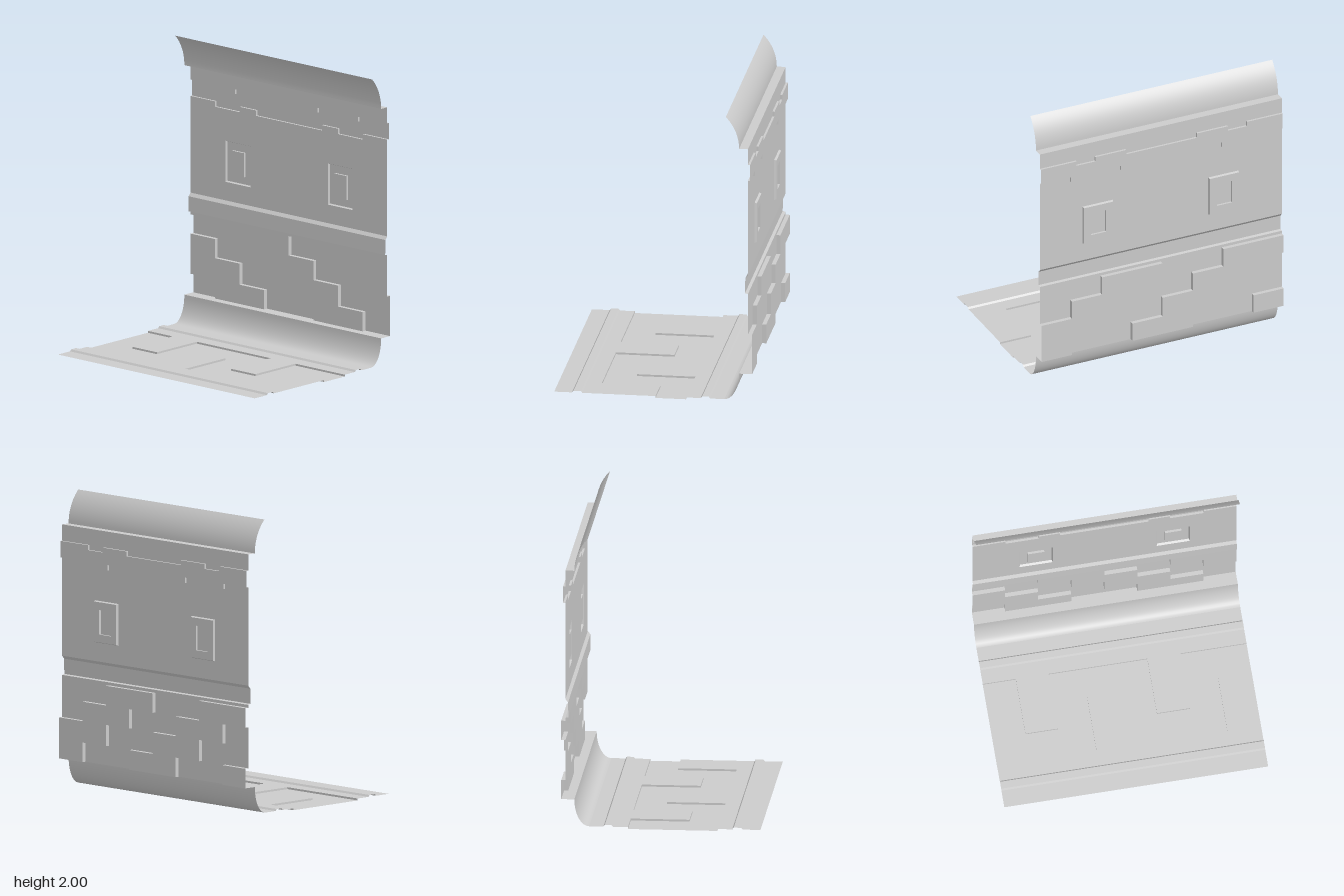
import * as THREE from 'three';
import { mergeGeometries } from 'three/addons/utils/BufferGeometryUtils.js';

const HALF = 0.895;                 // half length along z
const WALL = 0.64, BLOCK = 0.668, TRIM = 0.655; // wall depths (x)
const FLOOR = 0.013, CHANNEL = 0;   // floor heights (y)

// Place a flat [u, v] point on the wall (at x = w) or on the floor (at y = w)
const onWall = (w) => ([u, v]) => [w, v, -u];
const onFloor = (w) => ([u, v]) => [u, w, -v];

// Strip of quads between two 3D paths of equal length
function ribbon(a, b, smooth = false) {
  const geo = new THREE.PlaneGeometry(1, 1, 1, a.length - 1);
  a.forEach((p, i) => {
    geo.attributes.position.setXYZ(2 * i, ...p);
    geo.attributes.position.setXYZ(2 * i + 1, ...b[i]);
  });
  const out = smooth ? geo : geo.toNonIndexed();
  out.computeVertexNormals();
  return out;
}

// Profile of [x, y] points carried along the whole length
const sweep = (profile, smooth) => ribbon(
  profile.map(([x, y]) => [x, y, HALF]), profile.map(([x, y]) => [x, y, -HALF]), smooth);

// Flat polygon, optionally with holes
function panel(points, place, holes = []) {
  const vec = (list) => list.map(([u, v]) => new THREE.Vector2(u, v));
  const shape = new THREE.Shape(vec(points));
  shape.holes = holes.map((h) => new THREE.Path(vec(h)));
  const geo = new THREE.ShapeGeometry(shape);
  const pos = geo.attributes.position;
  for (let i = 0; i < pos.count; i++) pos.setXYZ(i, ...place([pos.getX(i), pos.getY(i)]));
  geo.computeVertexNormals();
  return geo.toNonIndexed();
}

// Riser along a path between two depths, left open at the two ends of the length
function riser(path, low, high, axis) {
  const parts = [];
  for (let i = 0; i + 1 < path.length; i++) {
    const seg = [path[i], path[i + 1]];
    const atEnd = seg.every((p) => Math.abs(p[axis]) > HALF - 0.001);
    const same = seg[0][0] === seg[1][0] && seg[0][1] === seg[1][1];
    if (!atEnd && !same) parts.push(ribbon(seg.map(low), seg.map(high)));
  }
  return mergeGeometries(parts);
}

const rect = (u0, v0, u1, v1) => [[u0, v0], [u1, v0], [u1, v1], [u0, v1]];
const close = (pts) => [...pts, pts[0]];
const between = (a, b) => [...a, ...[...b].reverse()];

export function createModel() {
  const model = new THREE.Group();
  const material = new THREE.MeshStandardMaterial({ color: 0xcccccc, side: THREE.DoubleSide });
  const add = (name, ...geos) => {
    const mesh = new THREE.Mesh(geos.length > 1 ? mergeGeometries(geos) : geos[0], material);
    mesh.name = name;
    model.add(mesh);
  };

  // Floor with a sunken meander channel
  const lineA = [[-0.38, -HALF], [-0.38, -0.22], [0.015, -0.22], [0.015, 0], [-0.38, 0],
    [-0.38, 0.667], [0.015, 0.667], [0.015, HALF]].map(([x, z]) => [x, -z]);
  const lineB = [[0.22, -HALF], [0.22, -0.67], [-0.175, -0.67], [-0.175, -0.45], [0.22, -0.45],
    [0.22, 0.222], [-0.175, 0.222], [-0.175, 0.445], [0.22, 0.445], [0.22, HALF]].map(([x, z]) => [x, -z]);
  add('floorPlate',
    panel(between([[-0.48, HALF], [-0.48, -HALF]], [...lineA]), onFloor(FLOOR)),
    panel(between(lineB, [[0.32, HALF], [0.32, -HALF]]), onFloor(FLOOR)));
  add('floorChannel', panel(between(lineA, lineB), onFloor(CHANNEL)),
    riser(lineA, onFloor(CHANNEL), onFloor(FLOOR), 1),
    riser(lineB, onFloor(CHANNEL), onFloor(FLOOR), 1));

  // Low ridges on both sides of the channel
  add('outerFloorRidge', sweep([[-0.67, FLOOR], [-0.55, FLOOR], [-0.54, 0.025], [-0.49, 0.025], [-0.48, FLOOR]]));
  add('innerFloorRidge', sweep([[0.32, FLOOR], [0.33, 0.025], [0.375, 0.025], [0.385, FLOOR], [0.48, FLOOR]]));

  // Coves at the foot and the head of the wall
  const foot = [], head = [];
  for (let i = 0; i <= 12; i++) {
    const t = (i / 12) * Math.PI / 2, s = (i / 12) * 0.776;
    foot.push([0.48 + 0.1 * Math.sin(t), 0.197 - (0.197 - FLOOR) * Math.cos(t)]);
    head.push([0.58 - 0.314 * (1 - Math.cos(s)), 1.78 + 0.314 * Math.sin(s)]);
  }
  add('footCove', sweep(foot, true));
  add('headCove', sweep(head, true));
  add('footLedge', sweep([[0.58, 0.197], [WALL, 0.197]]));
  add('headLedge', sweep([[WALL, 1.78], [0.58, 1.78]]));

  // Stepped blocks, alternately flush and pushed out
  const levels = [0.197, 0.33, 0.475, 0.607, 0.74];
  const stair = (k) => {
    const pts = [];
    for (let i = 0; i < 4; i++) {
      const u = THREE.MathUtils.clamp(-0.671 + 0.448 * k + 0.224 * i, -HALF, HALF);
      pts.push([u, levels[i]], [u, levels[i + 1]]);
    }
    return pts;
  };
  for (let k = -2; k <= 3; k++) {
    const outline = between(stair(k), stair(k + 1))
      .filter((p, i, all) => i === 0 || p[0] !== all[i - 1][0] || p[1] !== all[i - 1][1]);
    if (k % 2 === 0) add('flushBlocks', panel(outline, onWall(WALL)));
    else add('raisedBlocks', panel(outline, onWall(BLOCK)),
      riser(close(outline), onWall(WALL), onWall(BLOCK), 0));
  }

  // Moulding between the blocks and the upper wall
  add('middleMoulding', sweep([[WALL, 0.74], [WALL, 0.76], [0.62, 0.765], [0.622, 0.868], [WALL, 0.89]]));

  // Notched frieze: a line that switches between two heights
  const notched = (cuts, high, low) => {
    const us = [-HALF, ...cuts.map((c) => -c), ...[...cuts].reverse(), HALF];
    const pts = [];
    for (let i = 0; i + 1 < us.length; i++) {
      const v = i % 2 ? low : high;
      pts.push([us[i], v], [us[i + 1], v]);
    }
    return pts;
  };
  const upper = notched([0.63, 0.49, 0.262], 1.67, 1.637);
  const lower = notched([0.672, 0.445, 0.3], 1.557, 1.52);
  add('frieze', panel(between(lower, upper), onWall(TRIM)),
    riser(lower, onWall(WALL), onWall(TRIM), 0), riser(upper, onWall(WALL), onWall(TRIM), 0));

  // Upper wall with two framed panels
  const centres = [-0.467, 0.463];
  const frameAt = (c, w, h) => rect(c - w, 1.16 - h, c + w, 1.16 + h);
  add('upperWall',
    panel(between([[-HALF, 0.89], [HALF, 0.89]], lower), onWall(WALL), centres.map((c) => frameAt(c, 0.113, 0.142))),
    panel(between(upper, [[-HALF, 1.78], [HALF, 1.78]]), onWall(WALL)));
  for (const c of centres) {
    const base = frameAt(c, 0.113, 0.142), rim = frameAt(c, 0.107, 0.136), inner = frameAt(c, 0.056, 0.083);
    add('panelFrame', panel(rim, onWall(TRIM), [inner]),
      ribbon(close(base).map(onWall(WALL)), close(rim).map(onWall(TRIM))),
      riser(close(inner), onWall(WALL), onWall(TRIM), 0));
    add('panelCentre', panel(inner, onWall(WALL)));
  }
  return model;
}
